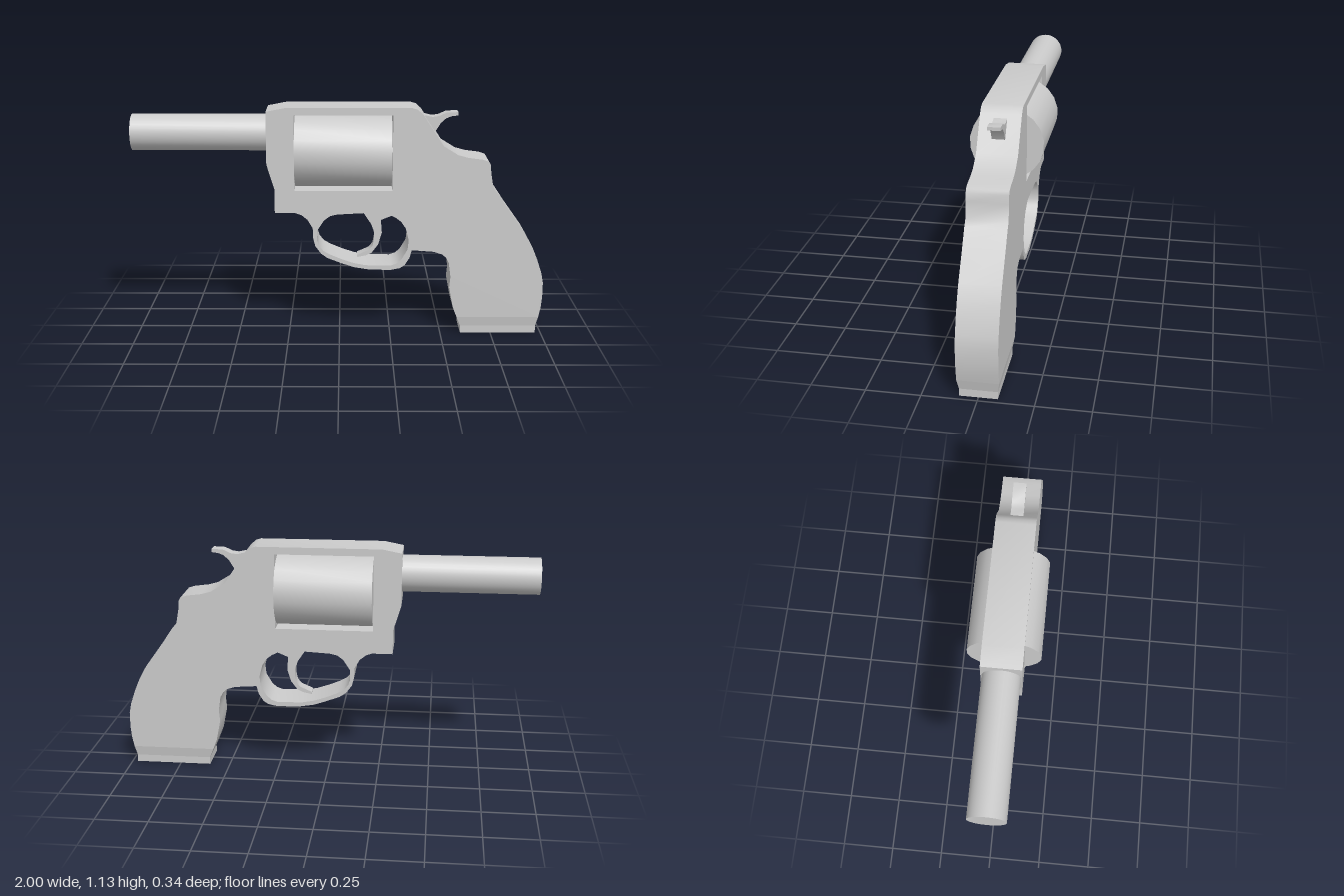
import * as THREE from 'three';
import { toCreasedNormals } from 'three/addons/utils/BufferGeometryUtils.js';

const HALF = 0.094; // half thickness of the frame

const toPoints = (list) => list.map(([x, y]) => new THREE.Vector2(x, y));

// Flat plate with an outline in xy, centred on z = 0
function plate(outline, half, holes = []) {
  const shape = new THREE.Shape(toPoints(outline));
  for (const h of holes) shape.holes.push(new THREE.Path(toPoints(h)));
  const geo = new THREE.ExtrudeGeometry(shape, { depth: half * 2, bevelEnabled: false });
  return geo.translate(0, 0, -half);
}

export function createModel() {
  const group = new THREE.Group();
  const material = new THREE.MeshStandardMaterial({ color: 0xcccccc });
  const add = (name, geo, crease = 0.6) => {
    const mesh = new THREE.Mesh(toCreasedNormals(geo, crease), material);
    mesh.name = name;
    group.add(mesh);
  };

  // Frame, grip and trigger guard in one silhouette
  const outline = [
    [-0.35, 1.112], [-0.257, 1.13], [0.345, 1.13], [0.37, 1.123], [0.396, 1.1], [0.497, 0.947],
    [0.567, 0.904], [0.615, 0.891], [0.684, 0.882], [0.715, 0.872], [0.724, 0.855], [0.727, 0.815],
    [0.741, 0.738], [0.765, 0.712], [0.813, 0.64], [0.904, 0.513], [0.94, 0.447], [0.966, 0.385],
    [0.99, 0.314], [1.0, 0.264], [1.0, 0.19], [0.995, 0.135], [0.985, 0.085],
    [0.58, 0.085], [0.561, 0.134], [0.54, 0.24], [0.545, 0.294], [0.535, 0.364], [0.522, 0.39],
    [0.503, 0.408], [0.46, 0.422], [0.353, 0.43], [0.342, 0.39], [0.318, 0.353], [0.295, 0.338],
    [0.25, 0.329], [0.144, 0.331], [0.07, 0.343], [0.01, 0.363], [-0.06, 0.39], [-0.09, 0.412],
    [-0.118, 0.45], [-0.128, 0.49], [-0.13, 0.54], [-0.155, 0.583], [-0.185, 0.607],
    [-0.214, 0.617], [-0.313, 0.617], [-0.313, 0.735], [-0.35, 0.856],
  ];
  const drumWindow = [[-0.217, 0.728], [0.255, 0.728], [0.255, 1.095], [-0.217, 1.095]];
  const guardHole = [
    [-0.01, 0.61], [-0.045, 0.602], [-0.075, 0.58], [-0.107, 0.53], [-0.109, 0.48], [-0.1, 0.452],
    [-0.078, 0.425], [-0.045, 0.407], [0.01, 0.384], [0.07, 0.364], [0.128, 0.353], [0.25, 0.351],
    [0.28, 0.362], [0.303, 0.383], [0.332, 0.433], [0.337, 0.48], [0.322, 0.54], [0.3, 0.573],
    [0.273, 0.594], [0.225, 0.617], [0.12, 0.617],
  ];
  add('frame', plate(outline, HALF, [drumWindow, guardHole]));

  // Butt of the grip: a short taper, then a straight foot
  const taper = plate([[0.6, 0.036], [0.973, 0.036], [0.985, 0.085], [0.58, 0.085]], HALF);
  const pos = taper.attributes.position;
  for (let i = 0; i < pos.count; i++) {
    if (pos.getY(i) < 0.05) pos.setZ(i, Math.sign(pos.getZ(i)) * 0.086);
  }
  add('gripTaper', taper, 0.2);
  add('gripFoot', plate([[0.6, 0], [0.973, 0], [0.973, 0.036], [0.6, 0.036]], 0.086));

  // Rotating drum, with facets squared to the sides
  const drum = new THREE.CylinderGeometry(0.174, 0.174, 0.465, 20, 1, false, Math.PI / 20);
  add('drum', drum.rotateZ(Math.PI / 2).translate(0.018, 0.907, 0));

  // Barrel, running a little way into the frame
  const barrel = new THREE.CylinderGeometry(0.088, 0.088, 0.7, 32);
  add('barrel', barrel.rotateZ(Math.PI / 2).translate(-0.65, 0.997, 0));

  // Curved trigger
  add('trigger', plate([
    [0.11, 0.63], [0.118, 0.6], [0.155, 0.545], [0.168, 0.51], [0.171, 0.475], [0.163, 0.435],
    [0.145, 0.412], [0.086, 0.386], [0.088, 0.375], [0.13, 0.384], [0.158, 0.397], [0.19, 0.44],
    [0.208, 0.5], [0.203, 0.565], [0.273, 0.594], [0.27, 0.63],
  ], 0.03));

  // Hammer spur
  add('hammer', plate([
    [0.36, 1.08], [0.41, 1.085], [0.445, 1.077], [0.475, 1.081], [0.513, 1.098], [0.568, 1.1],
    [0.568, 1.084], [0.535, 1.08], [0.51, 1.07], [0.485, 1.047], [0.465, 1.015], [0.455, 0.997],
    [0.4, 0.98],
  ], 0.03));

  return group;
}
